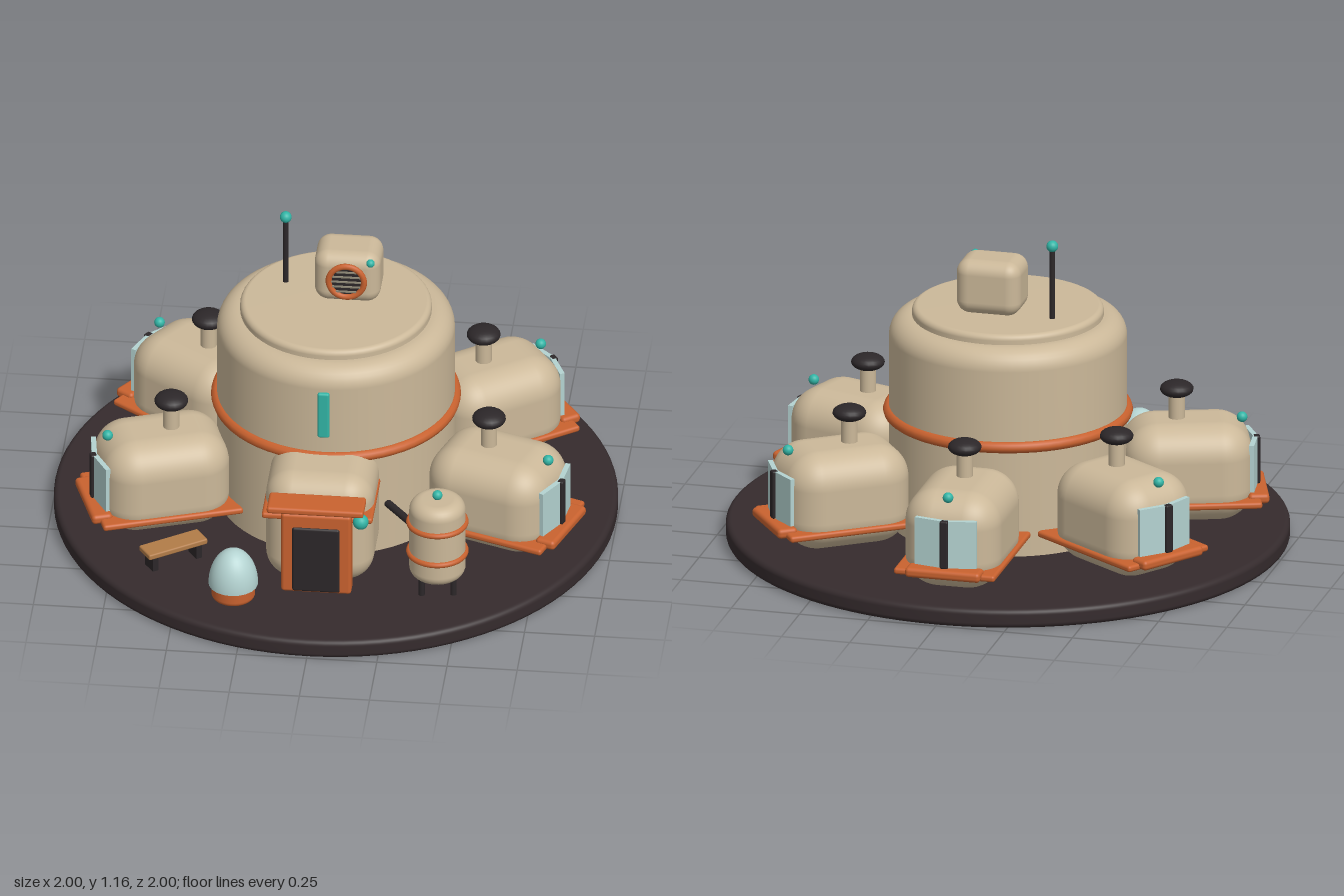
import * as THREE from 'three';
import { RoundedBoxGeometry } from 'three/addons/geometries/RoundedBoxGeometry.js';

const mat = (name, color) => {
  const m = new THREE.MeshStandardMaterial({ color });
  m.name = name;
  return m;
};

export function createModel() {
  const shell = mat('sand shell', 0xcbb899);
  const orange = mat('orange trim', 0xc9622f);
  const dark = mat('dark metal', 0x2c2729);
  const ground = mat('dark ground', 0x352b2d);
  const teal = mat('teal light', 0x32b5a6);
  const glass = mat('pale glass', 0xb4d3d1);
  const wood = mat('wood', 0xb27c48);
  const slatGrey = mat('slat grey', 0x8d8776);

  const model = new THREE.Group();
  model.name = 'outpost';

  // Helpers: add a named mesh, and shorthand shapes
  const add = (parent, name, geo, material, x = 0, y = 0, z = 0) => {
    const m = new THREE.Mesh(geo, material);
    m.name = name;
    m.position.set(x, y, z);
    parent.add(m);
    return m;
  };
  const group = (name, parent = model) => {
    const g = new THREE.Group();
    g.name = name;
    parent.add(g);
    return g;
  };
  const rbox = (w, h, d, r, s = 3) => new RoundedBoxGeometry(w, h, d, s, r);
  const ball = r => new THREE.SphereGeometry(r, 20, 14);
  const rod = (r, h) => new THREE.CylinderGeometry(r, r, h, 20);
  const ring = (r, t) => new THREE.TorusGeometry(r, t, 10, 64).rotateX(Math.PI / 2);
  // Solid round drum with rounded rims
  const drum = (r, y0, y1, rBottom, rTop, seg = 64) => {
    const pts = [new THREE.Vector2(0, y0)];
    const n = 8;
    for (let i = 0; i <= n; i++) {
      const a = (i / n) * Math.PI / 2;
      pts.push(new THREE.Vector2(r - rBottom + rBottom * Math.sin(a), y0 + rBottom - rBottom * Math.cos(a)));
    }
    for (let i = 0; i <= n; i++) {
      const a = (i / n) * Math.PI / 2;
      pts.push(new THREE.Vector2(r - rTop + rTop * Math.cos(a), y1 - rTop + rTop * Math.sin(a)));
    }
    pts.push(new THREE.Vector2(0, y1));
    return new THREE.LatheGeometry(pts, seg);
  };

  // Ground disc
  add(model, 'groundDisc', drum(1, 0, 0.07, 0.02, 0.02, 96), ground);

  // Central tower
  const tower = group('tower');
  add(tower, 'towerBody', drum(0.422, 0.06, 0.835, 0.01, 0.075), shell);
  add(tower, 'towerCap', drum(0.34, 0.8, 0.87, 0.01, 0.02), shell);
  add(tower, 'towerBand', ring(0.422, 0.021), orange, 0, 0.48, 0);
  add(tower, 'towerLight', rbox(0.042, 0.185, 0.024, 0.008), teal, 0, 0.657, 0.422);

  // Antenna
  const antenna = group('antenna');
  add(antenna, 'antennaMast', rod(0.01, 0.27), dark, -0.19, 1.0, -0.105);
  add(antenna, 'antennaTip', ball(0.021), teal, -0.19, 1.14, -0.105);

  // Rooftop ventilator with round grille
  const vent = group('roofVent');
  vent.position.set(0.04, 0.97, 0);
  add(vent, 'ventBox', rbox(0.235, 0.2, 0.185, 0.05, 5), shell, 0, 0, -0.065);
  add(vent, 'ventRing', new THREE.TorusGeometry(0.063, 0.011, 10, 40), orange, 0, 0, 0.032);
  add(vent, 'ventDisc', rod(0.062, 0.012).rotateX(Math.PI / 2), dark, 0, 0, 0.026);
  for (let i = -2; i <= 2; i++) {
    const w = 2 * Math.sqrt(0.055 ** 2 - (i * 0.02) ** 2);
    add(vent, 'ventSlat', new THREE.BoxGeometry(w, 0.005, 0.006), slatGrey, 0, i * 0.02, 0.035);
  }
  add(vent, 'ventLamp', ball(0.015), teal, 0.085, 0.075, 0.02);

  // Five living pods fanned around the rear and sides; each points along local +z
  const step = THREE.MathUtils.degToRad(54.7);
  for (let i = -2; i <= 2; i++) {
    const pod = group('pod');
    pod.rotation.y = Math.PI + i * step;
    add(pod, 'podShell', rbox(0.35, 0.36, 0.46, 0.12, 6), shell, 0, 0.25, 0.635);
    add(pod, 'podTrim', rbox(0.37, 0.024, 0.51, 0.01), orange, 0, 0.152, 0.635);
    add(pod, 'windowSill', rbox(0.275, 0.036, 0.075, 0.014), orange, 0, 0.16, 0.882);
    for (const s of [-1, 1]) {
      const pane = add(pod, 'windowPane', new THREE.BoxGeometry(0.112, 0.175, 0.018), glass, s * 0.057, 0.266, 0.868);
      pane.rotation.y = s * 0.2;
    }
    add(pod, 'windowMullion', rbox(0.03, 0.178, 0.024, 0.006), dark, 0, 0.266, 0.884);
    add(pod, 'chimneyStem', rod(0.029, 0.13), shell, 0, 0.465, 0.6);
    add(pod, 'chimneyCap', ball(0.06).scale(1, 0.5, 1), dark, 0, 0.538, 0.6);
    add(pod, 'podLamp', ball(0.019), teal, 0, 0.425, 0.832);
  }

  // Entrance porch
  const porch = group('entrance');
  add(porch, 'porchShell', rbox(0.385, 0.43, 0.36, 0.1, 6), shell, 0, 0.28, 0.455);
  add(porch, 'porchTrim', rbox(0.395, 0.024, 0.28, 0.01), orange, 0, 0.362, 0.51);
  add(porch, 'doorFrame', rbox(0.25, 0.325, 0.07, 0.012), orange, 0, 0.235, 0.65);
  add(porch, 'door', rbox(0.17, 0.265, 0.02, 0.009), dark, 0, 0.213, 0.682);
  add(porch, 'canopy', rbox(0.345, 0.026, 0.11, 0.01), orange, 0.002, 0.443, 0.685);
  add(porch, 'doorLamp', ball(0.028), teal, 0.16, 0.387, 0.69);

  // Water tank on legs, piped to the tower
  const tank = group('waterTank');
  tank.position.set(0.425, 0, 0.61);
  add(tank, 'tankBody', drum(0.1, 0.135, 0.452, 0.04, 0.045, 40), shell);
  for (const y of [0.235, 0.357]) add(tank, 'tankHoop', ring(0.1, 0.011), orange, 0, y, 0);
  for (let i = 0; i < 3; i++) {
    const a = i * Math.PI * 2 / 3 + 0.4;
    add(tank, 'tankLeg', rod(0.011, 0.1), dark, Math.cos(a) * 0.065, 0.115, Math.sin(a) * 0.065);
  }
  add(tank, 'tankLamp', ball(0.018), teal, 0, 0.466, 0);
  const pipe = new THREE.LineCurve3(new THREE.Vector3(0.2, 0.258, 0.33), new THREE.Vector3(0.4, 0.258, 0.58));
  add(model, 'tankPipe', new THREE.TubeGeometry(pipe, 1, 0.014, 14), dark);

  // Glass planter
  const planter = group('planter');
  planter.position.set(-0.29, 0, 0.725);
  add(planter, 'planterPot', drum(0.078, 0.065, 0.13, 0.02, 0.01, 32), orange);
  const domeGeo = new THREE.SphereGeometry(0.088, 32, 14, 0, Math.PI * 2, 0, Math.PI / 2).scale(1, 1.55, 1);
  add(planter, 'planterDome', domeGeo, glass, 0, 0.125, 0);
  add(planter, 'domeBase', rod(0.088, 0.004), glass, 0, 0.125, 0);

  // Bench
  const bench = group('bench');
  bench.position.set(-0.525, 0, 0.52);
  bench.rotation.y = 0.6;
  add(bench, 'benchSeat', rbox(0.235, 0.022, 0.08, 0.006), wood, 0, 0.137, 0);
  for (const s of [-1, 1]) add(bench, 'benchLeg', new THREE.BoxGeometry(0.022, 0.062, 0.06), dark, s * 0.088, 0.097, 0);

  return model;
}
